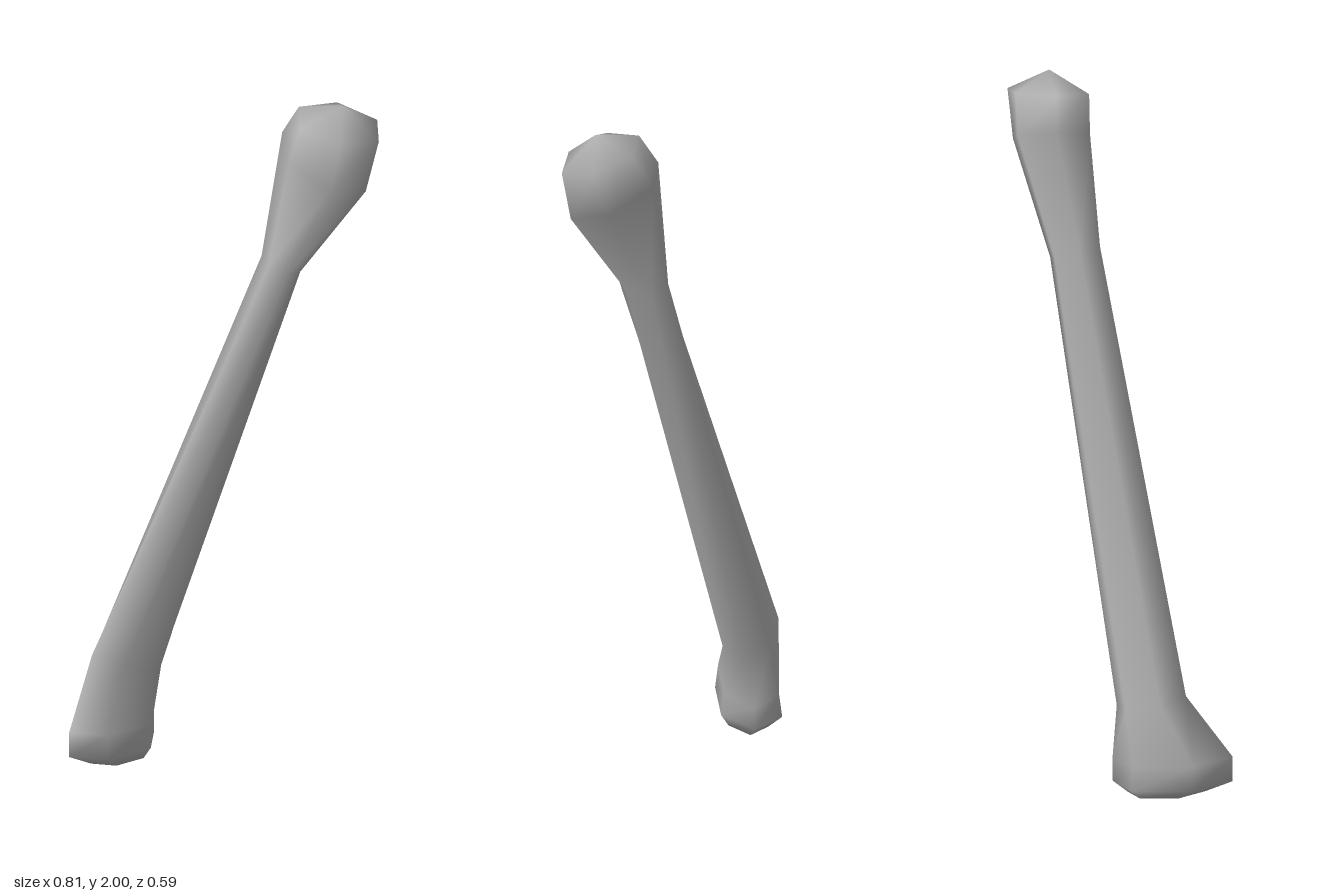
import * as THREE from 'three';

const SIDES = 6;

// Cross-sections from foot to head:
// centre x, y, z | half width x, its skew in z, half depth z | slope of y along x, along z
const RINGS = [
  [-0.22, 0.018, -0.19, 0.11, -0.02, 0.065, -0.08, 0],
  [-0.24, 0.055, -0.195, 0.17, -0.03, 0.1, -0.07, 0],
  [-0.24, 0.125, -0.195, 0.17, -0.03, 0.09, -0.1, 0],
  [-0.18, 0.295, -0.205, 0.11, 0.015, 0.078, -0.32, -0.05],
  [0.155, 1.51, 0.075, 0.065, -0.027, 0.071, -0.3, -0.15],
  [0.253, 1.82, 0.147, 0.118, 0.005, 0.135, -0.2, -0.45],
  [0.277, 1.94, 0.185, 0.127, 0.01, 0.115, -0.08, -0.28],
];
const FOOT_TIP = [-0.16, 0, -0.19];
const HEAD_TIP = [0.28, 2, 0.2];

function loftGeometry() {
  const positions = [];
  const index = [];
  for (const [cx, cy, cz, width, skew, depth, slopeX, slopeZ] of RINGS) {
    for (let j = 0; j < SIDES; j++) {
      const a = (j / SIDES) * Math.PI * 2;
      const dx = width * Math.cos(a);
      const dz = skew * Math.cos(a) + depth * Math.sin(a);
      positions.push(cx + dx, cy + slopeX * dx + slopeZ * dz, cz + dz);
    }
  }
  positions.push(...FOOT_TIP, ...HEAD_TIP);
  const foot = RINGS.length * SIDES;
  const head = foot + 1;
  const top = foot - SIDES;
  for (let j = 0; j < SIDES; j++) {
    const k = (j + 1) % SIDES;
    // side walls
    for (let i = 0; i < RINGS.length - 1; i++) {
      const lo = i * SIDES;
      const hi = lo + SIDES;
      index.push(lo + j, hi + j, lo + k, lo + k, hi + j, hi + k);
    }
    // end caps
    index.push(foot, j, k);
    index.push(head, top + k, top + j);
  }
  const geometry = new THREE.BufferGeometry();
  geometry.setAttribute('position', new THREE.Float32BufferAttribute(positions, 3));
  geometry.setIndex(index);
  geometry.computeVertexNormals();
  return geometry;
}

export function createModel() {
  const group = new THREE.Group();
  group.name = 'bone';

  const grey = new THREE.MeshStandardMaterial({ color: 0xb0b0b0 });
  grey.name = 'bone grey';

  // shaft with a wide foot and a rounded head
  const bone = new THREE.Mesh(loftGeometry(), grey);
  bone.name = 'boneShaft';
  group.add(bone);
  return group;
}
